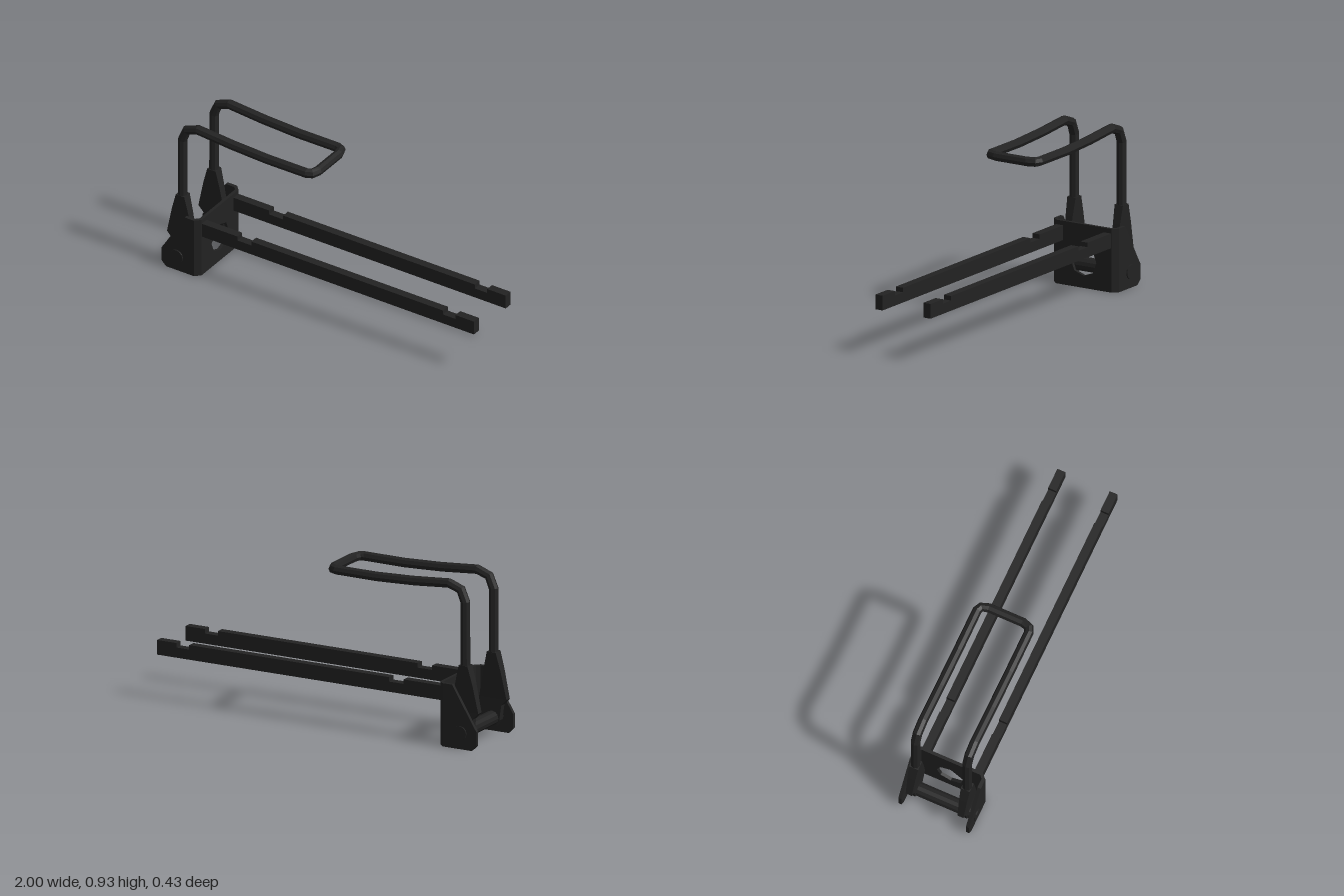
import * as THREE from 'three';

const darkMetal = new THREE.MeshStandardMaterial({ color: 0x222222, flatShading: true });
darkMetal.name = 'darkMetal';

// Tube spine that keeps its corner points, with averaged tangents for mitred joints
class BentWire extends THREE.Curve {
  constructor(points) {
    super();
    this.points = points;
  }
  getPoint(t) {
    return this.points[Math.round(t * (this.points.length - 1))].clone();
  }
  getPointAt(t) { return this.getPoint(t); }
  getTangentAt(t) {
    const p = this.points, i = Math.round(t * (p.length - 1));
    const dir = (a, b) => p[b].clone().sub(p[a]).normalize();
    const sum = new THREE.Vector3();
    if (i > 0) sum.add(dir(i - 1, i));
    if (i < p.length - 1) sum.add(dir(i, i + 1));
    return sum.normalize();
  }
}

const toPoints = (list) => list.map(([x, y]) => new THREE.Vector2(x, y));

function extrude(list, depth, hole) {
  const shape = new THREE.Shape(toPoints(list));
  if (hole) shape.holes.push(new THREE.Path(toPoints(hole)));
  return new THREE.ExtrudeGeometry(shape, { depth, bevelEnabled: false });
}

// Flared foot of the wire: a box whose rows follow [y, xMin, xMax, halfThickness]
function footGeometry() {
  const rows = [
    [0.46, -0.927, -0.873, 0.027], [0.36, -0.955, -0.85, 0.023],
    [0.2, -0.99, -0.82, 0.018], [0.165, -0.957, -0.82, 0.018],
    [0.08, -0.945, -0.845, 0.018], [0.04, -0.92, -0.875, 0.018],
  ];
  const last = rows.length - 1;
  const geo = new THREE.BoxGeometry(1, 1, 1, 1, last, 1);
  const pos = geo.attributes.position;
  for (let i = 0; i < pos.count; i++) {
    const [y, x0, x1, half] = rows[Math.round((0.5 - pos.getY(i)) * last)];
    pos.setXYZ(i, pos.getX(i) < 0 ? x0 : x1, y, pos.getZ(i) * 2 * half);
  }
  return geo;
}

export function createModel() {
  const model = new THREE.Group();
  model.name = 'hingedWireArm';
  const add = (name, geometry, x = 0, y = 0, z = 0) => {
    const mesh = new THREE.Mesh(geometry, darkMetal);
    mesh.name = name;
    mesh.position.set(x, y, z);
    model.add(mesh);
    return mesh;
  };

  // Bracket end plate with its faceted opening
  const endPlate = extrude(
    [[-0.18, 0], [0.18, 0], [0.18, 0.355], [-0.18, 0.355]], 0.018,
    [[0, 0.232], [-0.06, 0.21], [-0.083, 0.15], [-0.06, 0.09], [0, 0.068], [0.06, 0.09], [0.083, 0.15]]
  ).rotateY(-Math.PI / 2);
  add('bracketEndPlate', endPlate, -0.76);

  const cheek = [
    [-0.79, 0], [-0.97, 0], [-1, 0.03], [-1, 0.11],
    [-0.965, 0.165], [-0.85, 0.355], [-0.79, 0.355],
  ];
  const rail = [
    [-0.77, 0.248], [1, 0.248], [1, 0.33], [0.88, 0.33], [0.88, 0.305], [0.8, 0.305], [0.8, 0.33],
    [-0.44, 0.33], [-0.44, 0.305], [-0.53, 0.305], [-0.53, 0.33], [-0.77, 0.33],
  ];

  for (const s of [1, -1]) {
    const side = s > 0 ? 'left' : 'right';
    add(side + 'BracketCheek', extrude(cheek, 0.02), 0, 0, s * 0.2 - 0.01);
    // Angled bend joining the cheek to the end plate
    const bend = [[-0.79, s * 0.21], [-0.76, s * 0.18], [-0.778, s * 0.174], [-0.796, s * 0.19]];
    add(side + 'BracketBend', extrude(bend.map(([x, z]) => [x, -z]), 0.355).rotateX(-Math.PI / 2));
    add(side + 'NotchedRail', extrude(rail, 0.047), 0, 0, s * 0.155 - 0.0235);
    add(side + 'WireFoot', footGeometry(), 0, 0, s * 0.153);
  }

  // Hinge pin across the bracket
  add('hingePin', new THREE.CylinderGeometry(0.04, 0.04, 0.434, 12).rotateX(Math.PI / 2), -0.9, 0.09, 0);

  // Bent wire loop, mirrored from one side to the other
  const half = [
    [-0.9, 0.45, 0.153], [-0.9, 0.81, 0.153], [-0.872, 0.878, 0.153], [-0.8, 0.904, 0.153],
    [-0.58, 0.886, 0.153], [-0.35, 0.876, 0.153], [-0.1, 0.877, 0.153],
    [-0.073, 0.877, 0.141], [-0.06, 0.877, 0.1],
  ];
  const mirrored = half.map(([x, y, z]) => [x, y, -z]).reverse();
  const path = [...half, ...mirrored].map((p) => new THREE.Vector3(...p));
  add('wireLoop', new THREE.TubeGeometry(new BentWire(path), path.length - 1, 0.027, 8, false));

  return model;
}
